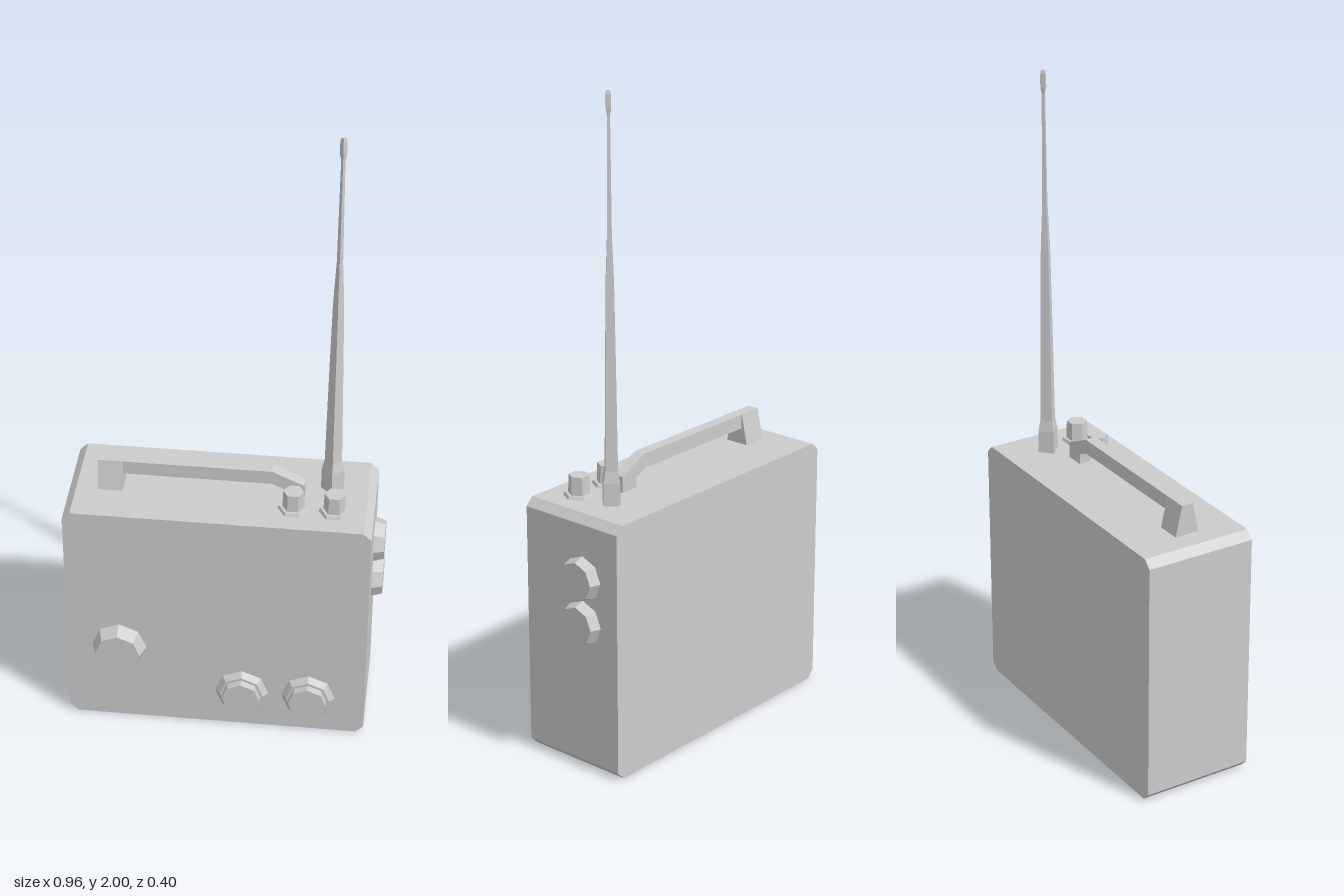
import * as THREE from 'three';

const material = new THREE.MeshStandardMaterial({ color: 0xcccccc, flatShading: true });

function add(parent, name, geometry, x = 0, y = 0, z = 0) {
  const mesh = new THREE.Mesh(geometry, material);
  mesh.name = name;
  mesh.position.set(x, y, z);
  parent.add(mesh);
  return mesh;
}

// Faceted turned part: profile is [radius, height] from bottom to top
function turned(profile, sides, phase = 0) {
  return new THREE.LatheGeometry(profile.map(([r, h]) => new THREE.Vector2(r, h)), sides, phase);
}

// Side outline in x/y, extruded between two depths
function slab(outline, z0, z1) {
  const shape = new THREE.Shape(outline.map(([x, y]) => new THREE.Vector2(x, y)));
  const geometry = new THREE.ExtrudeGeometry(shape, { depth: z1 - z0, bevelEnabled: false });
  return geometry.translate(0, 0, z0);
}

export function createModel() {
  const model = new THREE.Group();
  model.name = 'portableRadio';

  // Case with chamfered long edges
  const L = -0.48, R = 0.446, T = 0.795, c = 0.024;
  add(model, 'case', slab([
    [L + c, 0], [R - c, 0], [R, c], [R, T - c],
    [R - c, T], [L + c, T], [L, T - c], [L, c],
  ], -0.2, 0.15));

  // Carrying handle: bar sloping down to a small foot on the left
  const handle = new THREE.Group();
  handle.name = 'handle';
  model.add(handle);
  add(handle, 'handleBar', slab([
    [-0.39, 0.845], [0.135, 0.845], [0.172, 0.828], [0.172, T - 0.005],
    [0.233, T - 0.005], [0.233, 0.845], [0.137, 0.89], [-0.39, 0.89],
  ], -0.033, 0.003));

  // Flared foot at the other end, its profile extruded along x
  const foot = slab([[-0.04, T - 0.005], [0.04, T - 0.005], [0.018, 0.89], [-0.018, 0.89]], 0, 0.077);
  add(handle, 'handleFoot', foot.rotateY(Math.PI / 2), -0.391, 0, -0.015);

  // Large front dial
  const dial = turned([[0.084, 0], [0.084, 0.004], [0.069, 0.045], [0, 0.045]], 8);
  add(model, 'frontDial', dial.rotateX(Math.PI / 2), -0.318, 0.288, 0.15);

  // Two stepped front knobs
  const stepped = turned([[0.084, 0], [0.068, 0.016], [0.059, 0.016], [0.059, 0.039], [0, 0.039]], 8)
    .rotateX(Math.PI / 2);
  for (const x of [0.063, 0.27]) add(model, 'frontKnob', stepped, x, 0.133, 0.15);

  // Two sockets on the left side
  const socket = turned([[0.069, 0], [0.059, 0.033], [0, 0.033]], 8).rotateZ(-Math.PI / 2);
  for (const y of [0.605, 0.466]) add(model, 'sideSocket', socket, R, y, -0.068);

  // Two hexagonal knobs on top
  const hexKnob = turned([[0.048, 0], [0.043, 0.009], [0.033, 0.009], [0.031, 0.065], [0, 0.065]], 6, Math.PI / 6);
  for (const x of [0.205, 0.328]) add(model, 'topKnob', hexKnob, x, T, 0.051);

  // Square whip antenna, turned corner-on
  add(model, 'antenna', turned([
    [0.035, T], [0.034, 0.865], [0.026, 0.9], [0.021, 1.2], [0.016, 1.46],
    [0.009, 1.6], [0.006, 1.93], [0.01, 1.95], [0.01, 1.99], [0.007, 2], [0, 2],
  ], 4), 0.313, 0, -0.062);

  return model;
}
